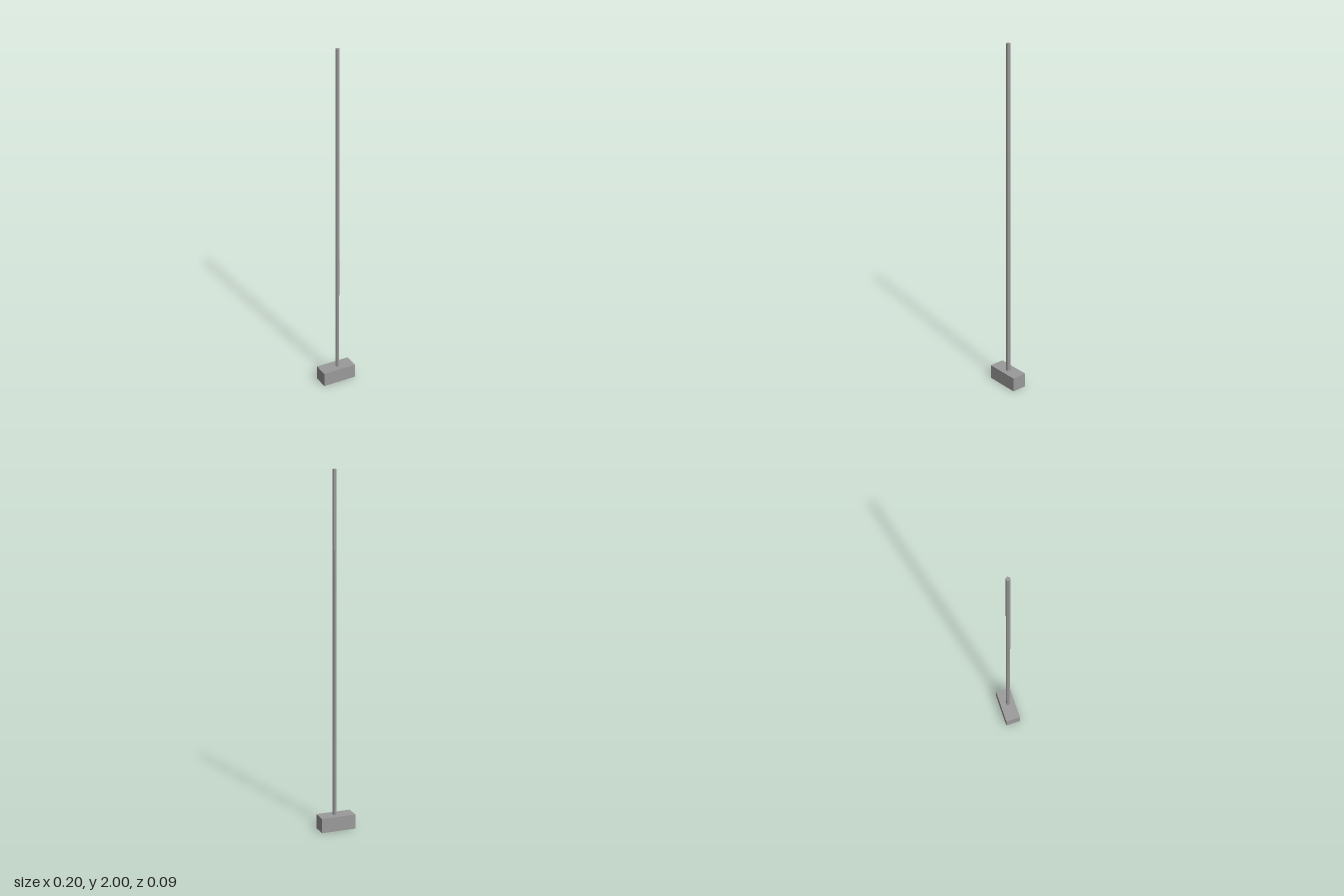
import * as THREE from 'three';

const BASE = { width: 0.201, height: 0.083, depth: 0.088 };
const POLE = { radius: 0.012, top: 2, x: 0.007, z: 0.003 };

export function createModel() {
  const model = new THREE.Group();
  model.name = 'poleOnBase';

  const material = new THREE.MeshStandardMaterial({
    color: 0x9a9a9a,
    flatShading: true,
    side: THREE.DoubleSide,
  });

  // Hollow base block: a box with its underside (fourth face, indices 18-23) left open
  const baseGeometry = new THREE.BoxGeometry(BASE.width, BASE.height, BASE.depth);
  const index = Array.from(baseGeometry.index.array);
  index.splice(18, 6);
  baseGeometry.setIndex(index);
  baseGeometry.clearGroups();
  const base = new THREE.Mesh(baseGeometry, material);
  base.name = 'base';
  base.position.y = BASE.height / 2;
  model.add(base);

  // Slim six-sided pole, corners pointing left and right, slightly off centre
  const length = POLE.top - BASE.height;
  const poleGeometry = new THREE.CylinderGeometry(POLE.radius, POLE.radius, length, 6);
  poleGeometry.rotateY(Math.PI / 6);
  const pole = new THREE.Mesh(poleGeometry, material);
  pole.name = 'pole';
  pole.position.set(POLE.x, BASE.height + length / 2, POLE.z);
  model.add(pole);

  return model;
}
